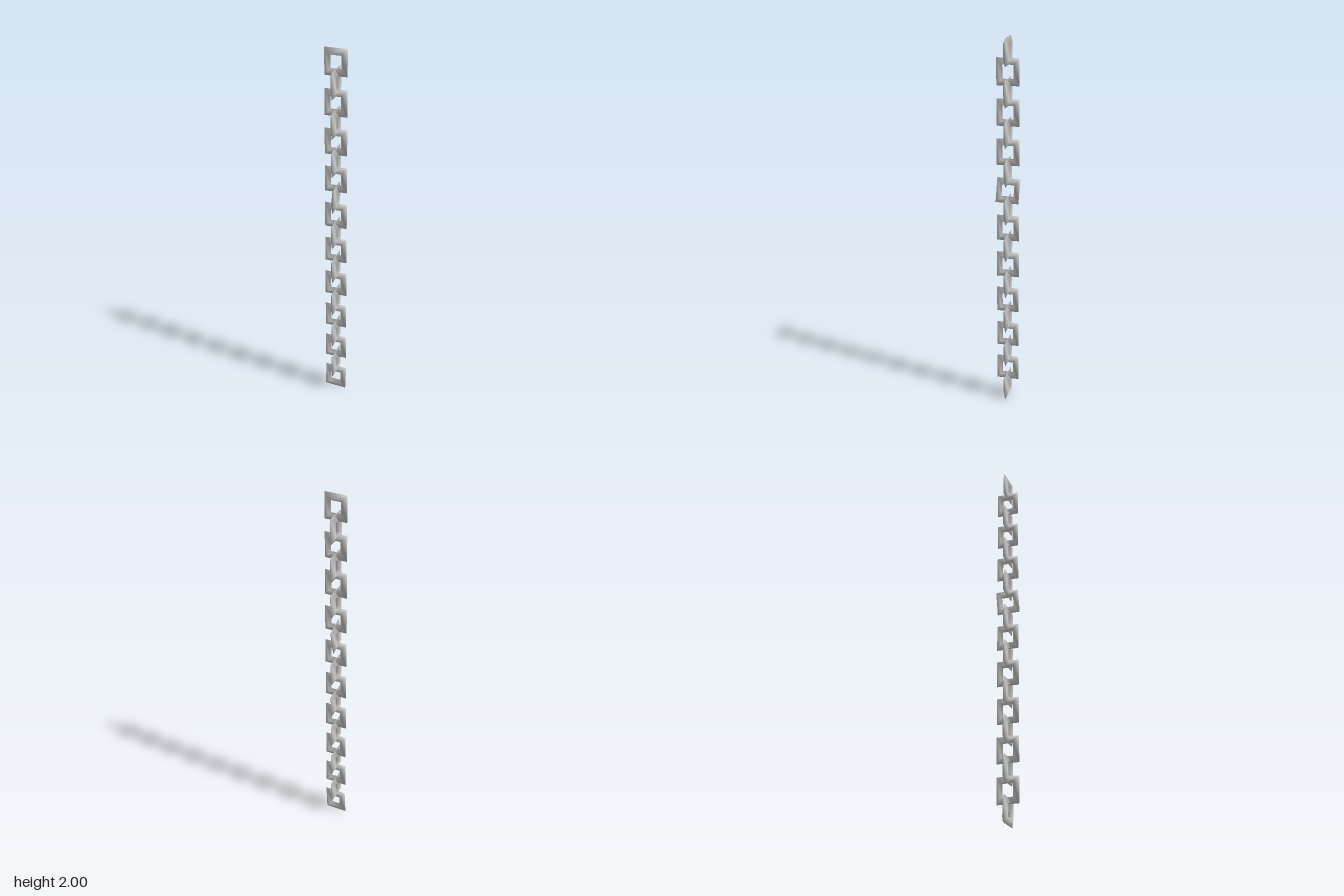
import * as THREE from 'three';

const LINKS = 19, TOP = 1.93, STEP = 0.1032;
const HALF_W = 0.06, HALF_H = 0.07, HALF_T = 0.0155;

// Rectangular link: a four-sided ring with a triangular, outward-pointing section
function linkGeometry() {
  const tube = 0.018, ring = HALF_W - tube;
  const g = new THREE.TorusGeometry(ring * Math.SQRT2, tube * Math.SQRT2, 3, 4);
  g.rotateZ(Math.PI / 4);
  g.scale(1, HALF_H / HALF_W, HALF_T / (tube * Math.SQRT2 * Math.sin(Math.PI / 3)));
  return g;
}

// Links that hang slightly askew: [pitch, yaw, roll]
const askew = {
  6: [0, 0.03, 0],
  7: [-0.08, 0.13, -0.05],
  11: [0, 0.02, 0],
  18: [0, -0.03, -0.04],
};

export function createModel() {
  const chain = new THREE.Group();
  chain.name = 'chain';
  const geometry = linkGeometry();
  const material = new THREE.MeshStandardMaterial({ color: 0xcccccc });

  // Alternate links face front and side
  for (let i = 0; i < LINKS; i++) {
    const holder = new THREE.Group();
    holder.name = `link${i + 1}`;
    holder.position.y = TOP - i * STEP;
    holder.rotation.set(...(askew[i] || [0, 0, 0]));
    const link = new THREE.Mesh(geometry, material);
    link.name = i % 2 ? 'sideLink' : 'frontLink';
    link.rotation.y = i % 2 ? Math.PI / 2 : 0;
    holder.add(link);
    chain.add(holder);
  }
  return chain;
}
